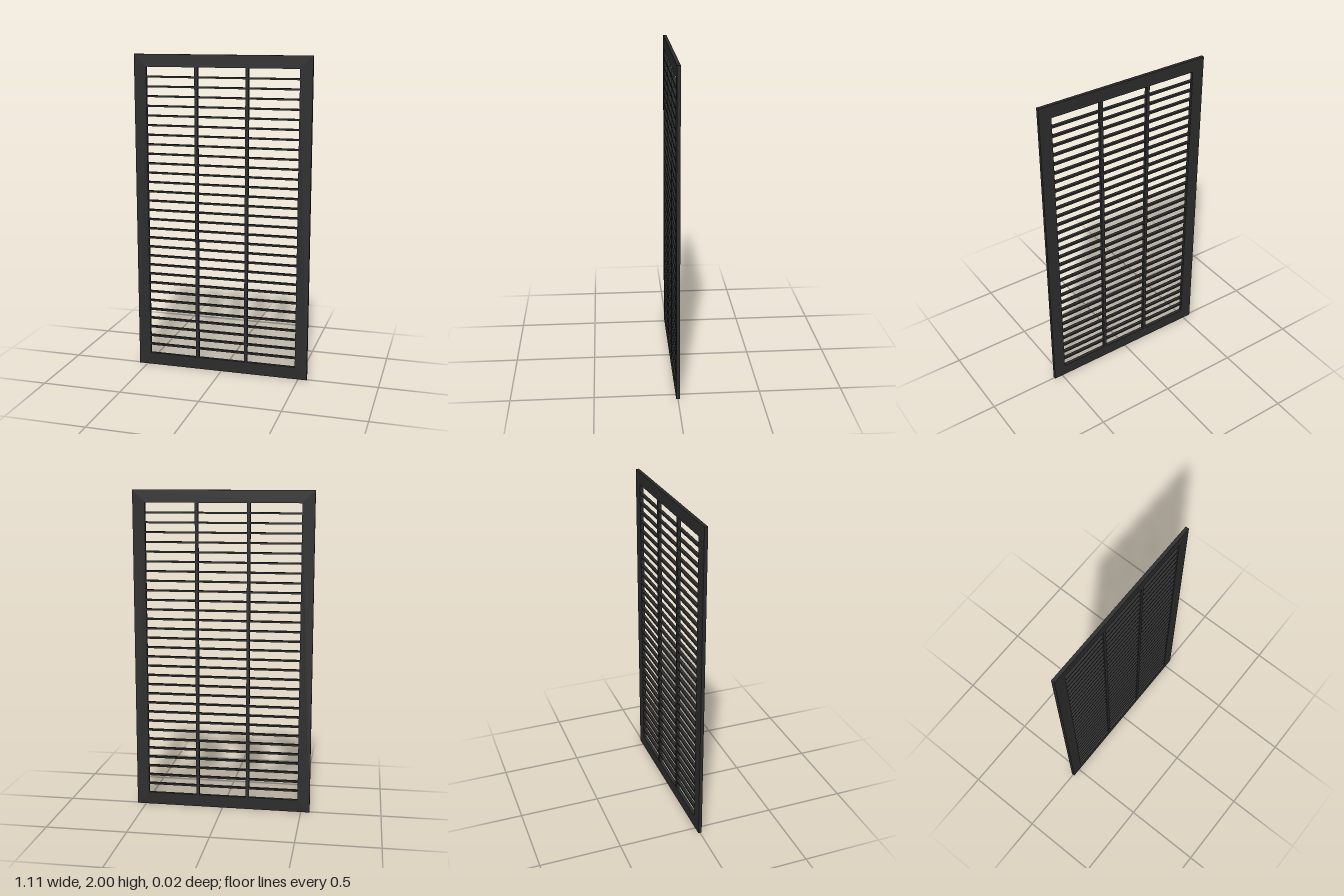
import * as THREE from 'three';

const W = 1.11, H = 2, DEPTH = 0.021, BORDER = 0.077;
const SLATS = 30;

export function createModel() {
  const model = new THREE.Group();
  model.name = 'louvrePanel';
  const material = new THREE.MeshStandardMaterial({ color: 0x2b2b2b });

  const add = (geometry, name, x, y, z) => {
    const mesh = new THREE.Mesh(geometry, material);
    mesh.name = name;
    mesh.position.set(x, y, z);
    model.add(mesh);
  };

  // Outer frame: one rectangle with a rectangular opening
  const rect = (Type, w, h) => new Type([
    new THREE.Vector2(-w / 2, -h / 2), new THREE.Vector2(w / 2, -h / 2),
    new THREE.Vector2(w / 2, h / 2), new THREE.Vector2(-w / 2, h / 2),
  ]);
  const innerW = W - 2 * BORDER, innerH = H - 2 * BORDER;
  const outline = rect(THREE.Shape, W, H);
  outline.holes.push(rect(THREE.Path, innerW, innerH));
  const frame = new THREE.ExtrudeGeometry(outline, { depth: DEPTH, bevelEnabled: false });
  add(frame, 'frame', 0, H / 2, -DEPTH / 2);

  // Two upright bars dividing the opening into thirds
  const upright = new THREE.BoxGeometry(0.02, innerH, DEPTH * 0.98);
  for (const side of [-1, 1]) {
    add(upright, side > 0 ? 'leftUpright' : 'rightUpright', side * innerW / 6, H / 2, 0);
  }

  // Evenly spaced horizontal slats
  const slat = new THREE.BoxGeometry(innerW, 0.011, DEPTH * 0.94);
  for (let i = 1; i <= SLATS; i++) {
    add(slat, `slat${i}`, 0, BORDER + (i * innerH) / (SLATS + 1), 0);
  }

  return model;
}
